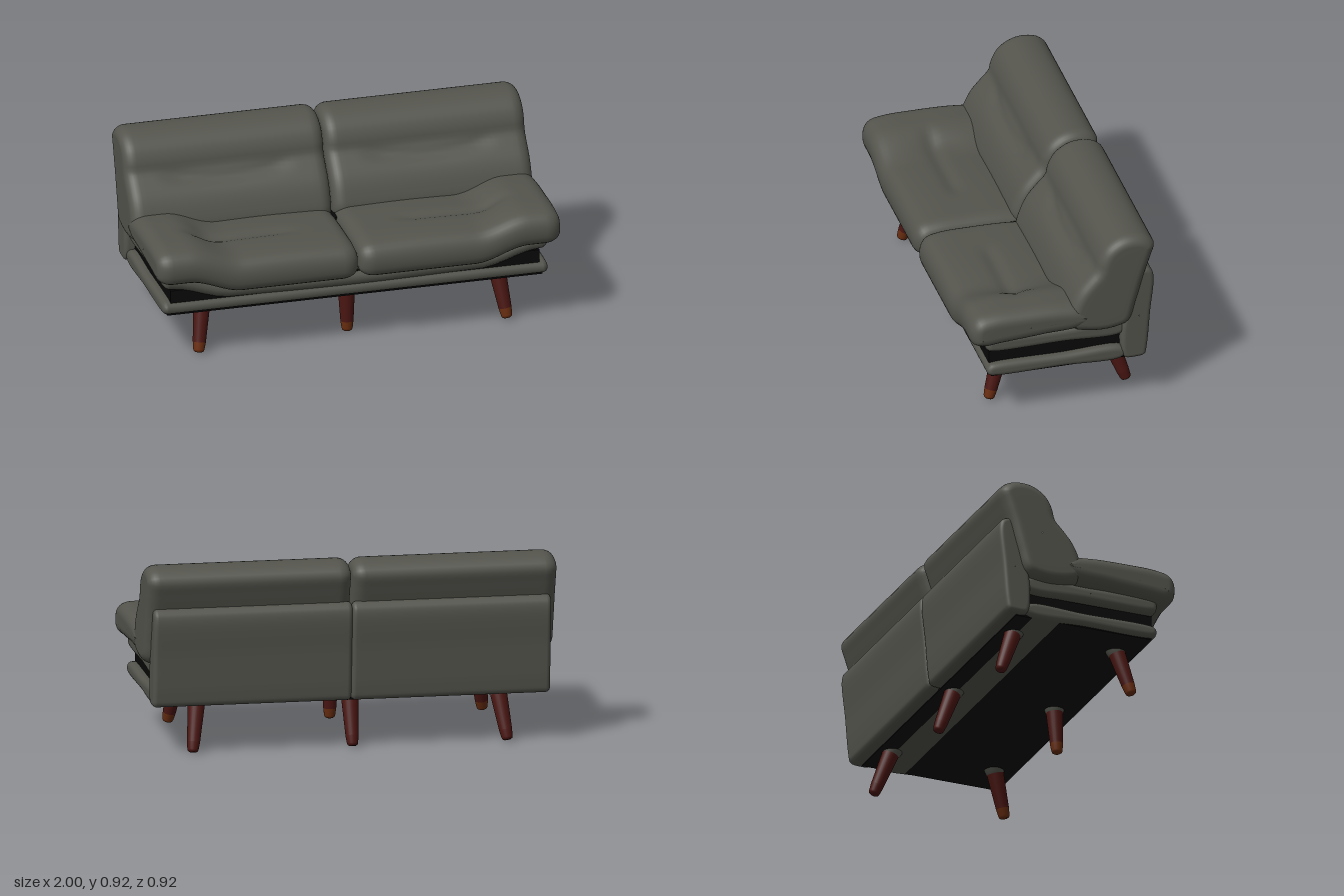
import * as THREE from 'three';

const mat = (name, color, extra = {}) => Object.assign(new THREE.MeshStandardMaterial({ color, ...extra }), { name });

// Smooth upholstery: a closed (z, y) profile, listed front > top > back > bottom,
// swept from x0 to x1 with rounded ends, then bent by an optional rule.
function sweep(profile, x0, x1, round, bend, roundX = round) {
  const N = 72, MID = 32, R = 7;
  const curve = new THREE.CatmullRomCurve3(profile.map(([z, y]) => new THREE.Vector3(0, y, z)), true, 'centripetal');
  const pts = curve.getSpacedPoints(N).slice(0, N);
  const centre = pts.reduce((c, p) => c.add(p), new THREE.Vector3()).divideScalar(N);
  const inward = pts.map((p, j) => {
    const t = pts[(j + 1) % N].clone().sub(pts[(j + N - 1) % N]).normalize();
    return new THREE.Vector3(0, t.z, -t.y);
  });
  // stations: x, inset from the profile, shrink towards the centre
  const end = [[0, round, 0.01], [0, round, 0.35], [0, round, 0.7]];
  for (let i = 0; i <= R; i++) {
    const a = (i / R) * Math.PI / 2;
    end.push([roundX * (1 - Math.cos(a)), round * (1 - Math.sin(a)), 1]);
  }
  const stations = end.map(([d, s, k]) => [x0 + d, s, k]);
  for (let i = 1; i < MID; i++) stations.push([x0 + roundX + (x1 - x0 - 2 * roundX) * i / MID, 0, 1]);
  stations.push(...end.map(([d, s, k]) => [x1 - d, s, k]).reverse());

  const pos = [], index = [];
  stations.forEach(([x, inset, k], i) => {
    pts.forEach((p, j) => {
      const v = p.clone().addScaledVector(inward[j], inset).sub(centre).multiplyScalar(k).add(centre);
      v.x = x;
      if (bend) bend(v);
      pos.push(v.x, v.y, v.z);
      if (i === stations.length - 1) return;
      const a = i * N + j, c = i * N + (j + 1) % N;
      index.push(a, a + N, c, c, a + N, c + N);
    });
  });
  const g = new THREE.BufferGeometry();
  g.setAttribute('position', new THREE.Float32BufferAttribute(pos, 3));
  g.setIndex(index);
  g.computeVertexNormals();
  return g;
}

const bump = (v, c, w) => Math.exp(-(((v - c) / w) ** 2));
const step = THREE.MathUtils.smoothstep;

export function createModel() {
  const group = new THREE.Group();
  const fabric = mat('grey fabric', 0x54544d);
  const black = mat('black lining', 0x080808);
  const wood = mat('dark red wood', 0x4a1612);
  const tipWood = mat('warm brown wood', 0x6a2e10);

  const add = (name, geometry, material, parent = group) => {
    const m = new THREE.Mesh(geometry, material);
    m.name = name;
    parent.add(m);
    return m;
  };
  const box = (name, x, y0, y1, z0, z1) =>
    add(name, new THREE.BoxGeometry(2 * x, y1 - y0, z1 - z0), black).position.set(0, (y0 + y1) / 2, (z0 + z1) / 2);

  // Padded base rail
  add('base', sweep([
    [0.37, 0.265], [0.36, 0.292], [0.33, 0.3], [0, 0.3], [-0.3, 0.3], [-0.33, 0.27],
    [-0.3, 0.236], [0, 0.236], [0.33, 0.236], [0.36, 0.244],
  ], -0.955, 0.955, 0.026), fabric);

  // Middle pad that rises towards both ends
  add('armPad', sweep([
    [0.372, 0.335], [0.365, 0.362], [0.335, 0.372], [0, 0.372], [-0.3, 0.372], [-0.33, 0.335],
    [-0.3, 0.298], [0, 0.298], [0.335, 0.298], [0.365, 0.308],
  ], -0.95, 0.95, 0.028, v => { v.y += 0.07 * step(Math.abs(v.x), 0.62, 0.92) - 0.012 * bump(v.x, 0, 0.5); }), fabric);

  // Dark inner frame, underside and the gap between the cushions
  box('innerFrame', 0.915, 0.25, 0.36, -0.32, 0.352);
  box('underside', 0.93, 0.23, 0.24, -0.36, 0.345);
  box('centreGap', 0.04, 0.36, 0.485, -0.2, 0);

  const seatProfile = [
    [0.458, 0.42], [0.45, 0.47], [0.42, 0.505], [0.35, 0.522], [0.2, 0.526], [0, 0.52], [-0.1, 0.502],
    [-0.15, 0.45], [-0.1, 0.39], [0.1, 0.37], [0.3, 0.356], [0.4, 0.35], [0.445, 0.372],
  ];
  const seatBend = v => {
    const x = Math.abs(v.x);
    const top = step(v.y, 0.44, 0.52);
    const lift = 0.068 * step(x, 0.58, 0.84);
    // tufted crease across the seat and the fold where the arm rises
    const crease = 0.014 * bump(v.z, 0.18, 0.035) * step(x, 0.2, 0.35) * (1 - step(x, 0.72, 0.85));
    const fold = 0.016 * bump(x, 0.69, 0.06) * bump(v.z, 0.15, 0.12);
    v.y += lift + top * (0.008 * bump(x, 0.35, 0.3) - crease - fold);
  };
  const backProfile = [
    [-0.025, 0.5], [-0.045, 0.58], [-0.08, 0.65], [-0.13, 0.71], [-0.17, 0.755], [-0.18, 0.8], [-0.215, 0.865],
    [-0.28, 0.91], [-0.35, 0.922], [-0.42, 0.905], [-0.458, 0.862], [-0.44, 0.79], [-0.41, 0.7],
    [-0.37, 0.56], [-0.33, 0.45], [-0.24, 0.42], [-0.12, 0.425], [-0.05, 0.45],
  ];
  const backBend = v => {
    const x = Math.abs(v.x);
    // curved pull line across the front of the pillow
    const line = 0.705 + 0.25 * (x - 0.5) ** 2;
    const span = step(x, 0.14, 0.28) * (1 - step(x, 0.72, 0.86));
    if (v.z > -0.3) v.z -= 0.016 * bump(v.y, line, 0.022) * span;
  };
  const panelProfile = [
    [-0.3, 0.27], [-0.3, 0.42], [-0.325, 0.52], [-0.355, 0.64], [-0.375, 0.7], [-0.41, 0.724], [-0.445, 0.708],
    [-0.457, 0.67], [-0.44, 0.48], [-0.423, 0.29], [-0.412, 0.245], [-0.36, 0.235], [-0.315, 0.24],
  ];

  // Left and right halves
  for (const [side, s] of [['left', 1], ['right', -1]]) {
    const half = (name, profile, gap, x, round, bend, roundX) =>
      add(side + name, sweep(profile, s > 0 ? gap : -x, s > 0 ? x : -gap, round, bend, roundX), fabric);
    half('SeatCushion', seatProfile, 0.003, 1, 0.055, seatBend, 0.075);
    half('BackCushion', backProfile, 0.003, 0.995, 0.05, backBend, 0.06);
    half('BackPanel', panelProfile, 0, 0.965, 0.022, null);
  }

  // Splayed tapered legs: top x, top z, foot x, foot z
  const leg = (name, tx, tz, fx, fz, front) => {
    const g = new THREE.Group();
    g.name = name;
    const top = new THREE.Vector3(tx, 0.235, tz), foot = new THREE.Vector3(fx, 0.006, fz);
    const L = top.distanceTo(foot);
    g.position.copy(foot);
    g.quaternion.setFromUnitVectors(new THREE.Vector3(0, 1, 0), top.clone().sub(foot).normalize());
    const lathe = p => new THREE.LatheGeometry(p.map(([r, y]) => new THREE.Vector2(r, y)), 24);
    const split = 0.05, rs = 0.0315;
    add('legTip', lathe([[0, 0], [0.016, 0], [0.024, 0.005], [0.027, 0.014], [rs, split]]), front ? tipWood : wood, g);
    add('legShaft', lathe([[rs, split], [0.041, L - 0.018]]), wood, g);
    add('legCollar', lathe([[0.042, L - 0.02], [0.046, L - 0.008], [0.05, L + 0.01]]), fabric, g);
    group.add(g);
  };
  for (const s of [-1, 0, 1]) {
    const where = ['right', 'middle', 'left'][s + 1];
    const tx = s ? 0.732 * s : -0.012, fx = s ? 0.765 * s : -0.012;
    leg(where + 'FrontLeg', tx, s ? 0.245 : 0.235, fx, s ? 0.312 : 0.25, true);
    leg(where + 'BackLeg', tx, -0.29, fx, -0.372, false);
  }
  return group;
}
